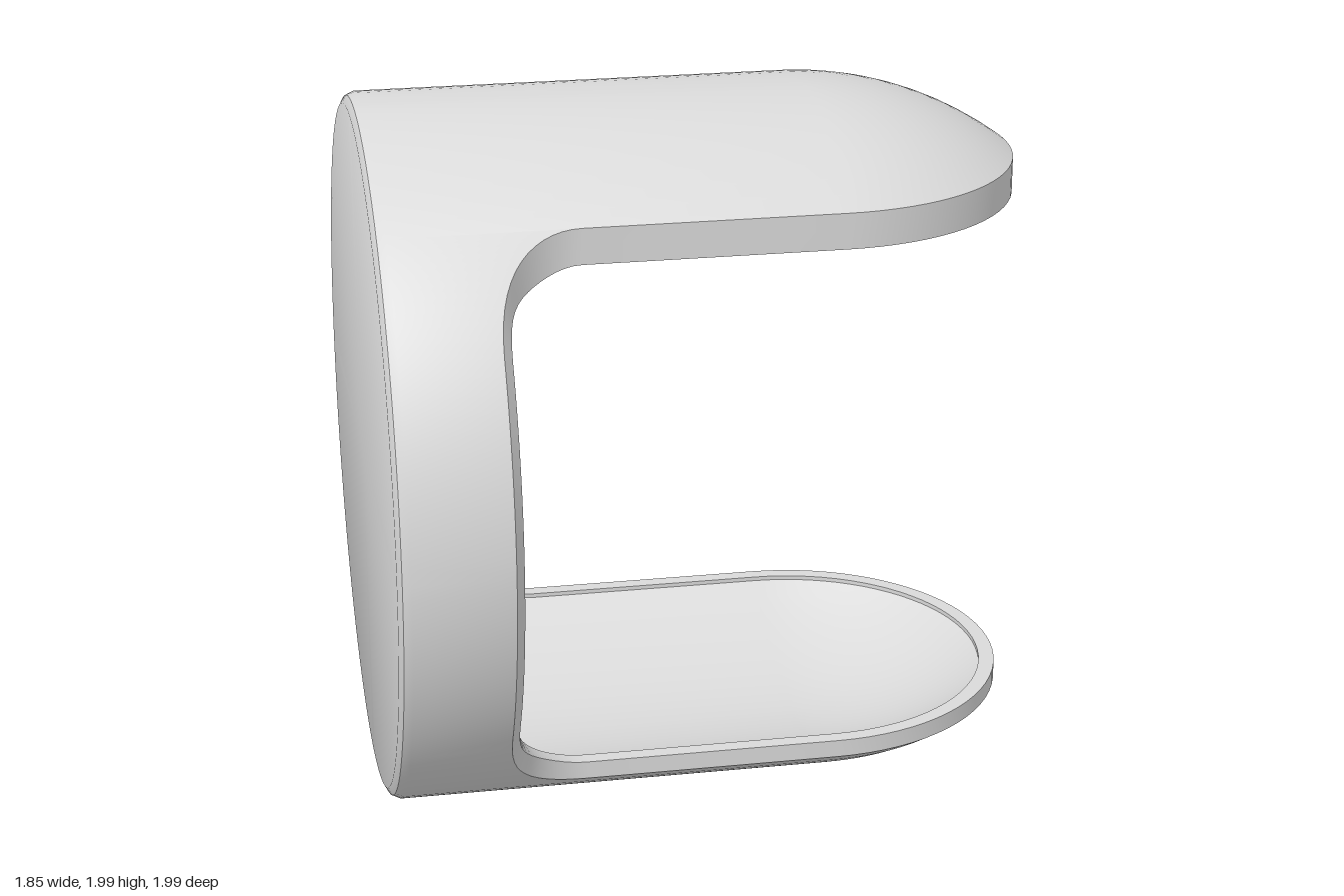
import * as THREE from 'three';
import { toCreasedNormals } from 'three/addons/utils/BufferGeometryUtils.js';

const V = (x, y, z) => new THREE.Vector3(x, y, z);
const OUT = 0.997, IN = 0.94;         // outer and inner shell radius about the x axis
const BACK = -0.925, FLOOR = -0.865;  // back face and inner floor
const DOME = 0.327, HALF = 0.597;     // start of the rounded tip, half width of the arms
const LIP = 0.045, FILLET = 0.24;
const EDGE = -0.38;                   // where the arm meets its fillet

// height of the shell above the axis: cylinder, then sphere beyond DOME
const height = (r, x, z) => Math.sqrt(Math.max(0, r * r - z * z - Math.max(0, x - DOME) ** 2));
const onCylinder = (x, r, a) => V(x, r * Math.cos(a), r * Math.sin(a));
const steps = (n, f) => Array.from({ length: n + 1 }, (_, i) => f(i / n));

// Rim section at a plan point: outer edge, bevel, lip, inner edge.
// (nx, nz) points into the material; w goes from 0 on the arm to 1 on the side.
function rim(x, z, nx, nz, w, drop) {
  const o = V(x, height(OUT, x, z), z);
  const radial = V(0, o.y, o.z).normalize();
  const b = o.clone().add(V(0.025 * Math.sqrt(w), -drop * (1 - w * w), 0)).addScaledVector(radial, -0.035 * w);
  const i = b.clone().add(V(nx, 0, nz).multiplyScalar(LIP * (1 - w))).addScaledVector(radial, -0.05 * w);
  const s = V(i.x - 0.02 * w, height(IN, i.x, i.z), i.z);
  if (w > 0) {
    const flat = V(0, i.y, i.z).setLength(IN);
    const p = V(0, s.y, s.z).lerp(flat, w).setLength(IN);
    s.set(s.x, p.y, p.z);
  }
  return [o, b, i, s];
}

// Back disc with softened edge, and inner floor, at one angle
const backPath = a => [V(BACK, 0, 0), onCylinder(BACK, OUT - 0.033, a),
  onCylinder(BACK + 0.012, OUT - 0.011, a), onCylinder(BACK + 0.035, OUT, a)];
const floorPath = a => [onCylinder(FLOOR, IN, a), V(FLOOR, 0, 0)];
const angle = p => Math.atan2(p.z, p.y);

// All strips of one quarter (y up, z positive)
function quarter(drop) {
  const strips = [], across = 12;
  // rounded tip
  strips.push(steps(20, t => {
    const a = t * Math.PI / 2, c = Math.cos(a), s = Math.sin(a);
    const section = rim(DOME + HALF * c, HALF * s, -c, -s, 0, drop);
    const cap = (r, size, k) => V(DOME + size * k * c, height(r, DOME + size * k, 0), size * k * s);
    const ks = steps(across, k => k).slice(0, -1);
    return [...ks.map(k => cap(OUT, HALF, k)), ...section,
      ...ks.reverse().map(k => cap(IN, HALF - LIP, k))];
  }));
  // straight arm edge
  strips.push(steps(4, t => rim(DOME + (EDGE - DOME) * t, HALF, 0, -1, 0, drop)));
  // outer and inner faces of the arm
  strips.push(steps(across, t => {
    const a = Math.asin(t * HALF / OUT);
    return [...backPath(a), onCylinder(DOME, OUT, a)];
  }));
  strips.push(steps(across, t => {
    const a = Math.asin(t * (HALF - LIP) / IN);
    return [onCylinder(DOME, IN, a), ...floorPath(a)];
  }));
  // fillet, then the plain side wall
  const side = section => [...backPath(angle(section[0])), ...section, ...floorPath(angle(section[3]))];
  strips.push(steps(14, t => {
    const a = t * Math.PI / 2, c = Math.cos(a), s = Math.sin(a);
    return side(rim(EDGE - FILLET * s, HALF + FILLET * (1 - c), -s, -c, s * s, drop));
  }));
  const startA = Math.asin((HALF + FILLET) / OUT);
  strips.push(steps(12, t => {
    const a = startA + (Math.PI / 2 - startA) * t;
    return side(rim(EDGE - FILLET, OUT * Math.sin(a), -1, 0, 1, drop));
  }));
  return strips;
}

// Mirror the quarter into place and collect its triangles
function addQuarter(out, sy, sz) {
  const tri = (a, b, c) => {
    const area = b.clone().sub(a).cross(c.clone().sub(a)).length();
    if (area < 1e-8) return;
    for (const p of sy * sz > 0 ? [a, b, c] : [a, c, b]) out.push(p.x, 1 + sy * p.y, sz * p.z);
  };
  for (const rows of quarter(sy > 0 ? 0.1 : 0.05)) {
    for (let i = 0; i + 1 < rows.length; i++) {
      for (let j = 0; j + 1 < rows[i].length; j++) {
        const a = rows[i][j], b = rows[i + 1][j], c = rows[i + 1][j + 1], d = rows[i][j + 1];
        tri(a, b, c);
        tri(a, c, d);
      }
    }
  }
}

export function createModel() {
  const grey = new THREE.MeshStandardMaterial({ color: 0xd9d9d9, side: THREE.DoubleSide });
  grey.name = 'light grey';

  const positions = [];
  for (const sy of [1, -1]) for (const sz of [1, -1]) addQuarter(positions, sy, sz);
  const geometry = new THREE.BufferGeometry();
  geometry.setAttribute('position', new THREE.Float32BufferAttribute(positions, 3));

  const shell = new THREE.Mesh(toCreasedNormals(geometry, 0.5), grey);
  shell.name = 'roundCapWithTwoArms';
  const group = new THREE.Group();
  group.name = 'twoArmedCap';
  group.add(shell);
  return group;
}
